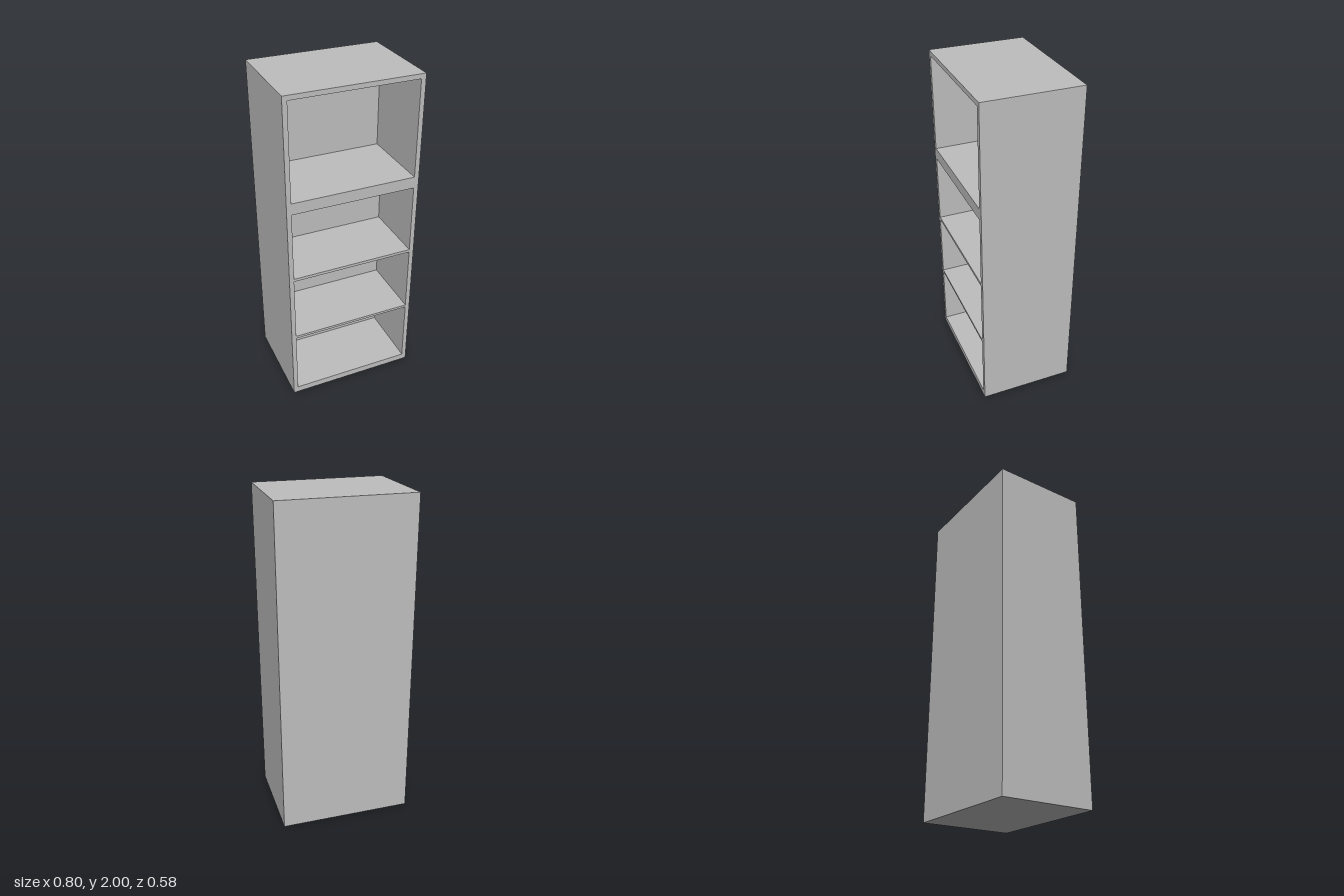
import * as THREE from 'three';
import { mergeGeometries } from 'three/addons/utils/BufferGeometryUtils.js';

const W = 0.802, H = 2, D = 0.578;
const OPENING = 0.373; // half width of each compartment

// bottom, top and depth of each compartment
const compartments = [
  { y0: 0.04, y1: 0.448, depth: 0.412 },
  { y0: 0.464, y1: 0.875, depth: 0.412 },
  { y0: 0.893, y1: 1.321, depth: 0.412 },
  { y0: 1.391, y1: 1.972, depth: 0.473 },
];

// Box with no front face, its front rim at z = D / 2; inward turns it inside out
function openBox(w, y0, y1, depth, inward) {
  const g = new THREE.BoxGeometry(w, y1 - y0, depth);
  g.translate(0, (y0 + y1) / 2, D / 2 - depth / 2);
  const index = Array.from(g.index.array);
  index.splice(24, 6);
  g.setIndex(inward ? index.reverse() : index);
  const flat = g.toNonIndexed();
  flat.computeVertexNormals();
  return flat;
}

function rectangle(path, w, y0, y1) {
  path.moveTo(-w, y0).lineTo(w, y0).lineTo(w, y1).lineTo(-w, y1).closePath();
  return path;
}

export function createModel() {
  const group = new THREE.Group();
  group.name = 'bookcase';
  const grey = new THREE.MeshStandardMaterial({ color: 0xbebebe });
  grey.name = 'lightGrey';

  // Front face with one hole per compartment
  const face = rectangle(new THREE.Shape(), W / 2, 0, H);
  for (const c of compartments) face.holes.push(rectangle(new THREE.Path(), OPENING, c.y0, c.y1));
  const front = new THREE.ShapeGeometry(face).toNonIndexed();
  front.translate(0, 0, D / 2);

  // Outer carcass joined to the front face
  const carcass = new THREE.Mesh(mergeGeometries([openBox(W, 0, H, D, false), front]), grey);
  carcass.name = 'carcass';
  group.add(carcass);

  // Compartment linings: floor, ceiling, sides and back
  compartments.forEach((c, i) => {
    const lining = new THREE.Mesh(openBox(OPENING * 2, c.y0, c.y1, c.depth, true), grey);
    lining.name = `compartment${i + 1}`;
    group.add(lining);
  });

  return group;
}
